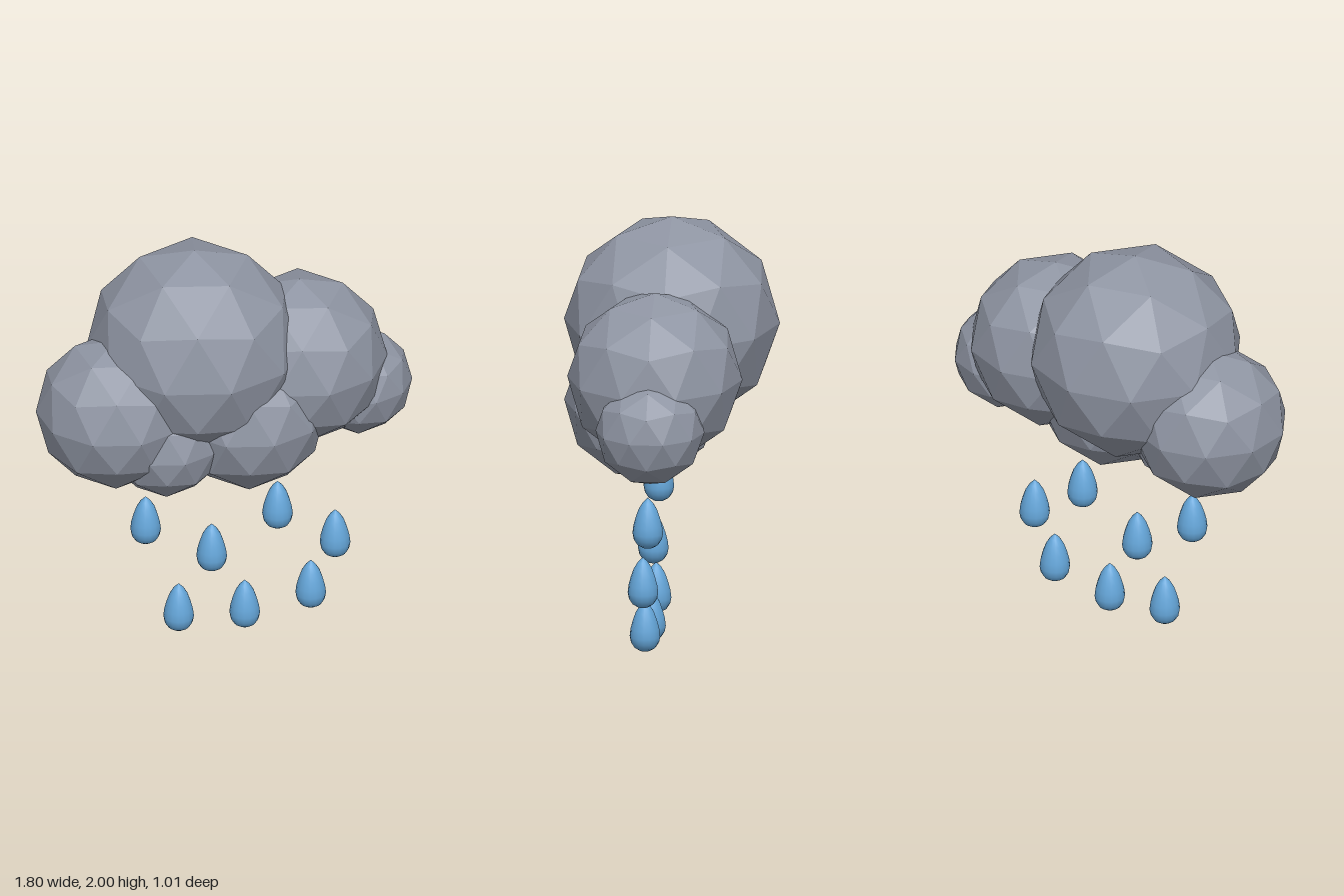
import * as THREE from 'three';

export function createModel() {
  const model = new THREE.Group();
  model.name = 'rainCloud';

  const cloudGrey = new THREE.MeshStandardMaterial({ color: 0x8f95a3, flatShading: true });
  cloudGrey.name = 'cloud grey';
  const rainBlue = new THREE.MeshStandardMaterial({ color: 0x64a5d8 });
  rainBlue.name = 'rain blue';

  // Faceted ball, turned so that one corner points straight up
  const puffGeometry = new THREE.IcosahedronGeometry(1, 1);
  puffGeometry.rotateZ(-Math.atan(2 / (1 + Math.sqrt(5))));

  // Cloud puffs: name, centre, radius
  const cloud = new THREE.Group();
  cloud.name = 'cloud';
  const puffs = [
    ['mainPuff', -0.143, 1.495, 0, 0.505],
    ['leftPuff', 0.365, 1.362, 0.04, 0.41],
    ['rightPuff', -0.553, 1.247, 0.038, 0.367],
    ['lowerFrontPuff', 0.077, 1.165, 0.122, 0.365],
    ['lowerRightPuff', -0.336, 1.102, 0.135, 0.27],
    ['leftEndPuff', 0.653, 1.185, 0.04, 0.255],
  ];
  for (const [name, x, y, z, r] of puffs) {
    const puff = new THREE.Mesh(puffGeometry, cloudGrey);
    puff.name = name;
    puff.position.set(x, y, z);
    puff.scale.setScalar(r);
    cloud.add(puff);
  }
  model.add(cloud);

  // Raindrop profile from the round bottom to the tip
  const profile = [
    [0, 0], [0.026, 0.006], [0.05, 0.021], [0.066, 0.046], [0.0715, 0.075],
    [0.067, 0.112], [0.057, 0.15], [0.043, 0.19], [0.024, 0.222], [0, 0.246],
  ].map(([r, y]) => new THREE.Vector2(r, y));
  const dropGeometry = new THREE.LatheGeometry(profile, 16);

  // Raindrops: x and height of the bottom
  const rain = new THREE.Group();
  rain.name = 'rain';
  const drops = [
    [-0.415, 0.539], [-0.087, 0.332], [0.24, 0.497], [0.526, 0.291],
    [-0.251, 0.045], [0.077, 0.002], [0.405, 0.045],
  ];
  drops.forEach(([x, y], i) => {
    const drop = new THREE.Mesh(dropGeometry, rainBlue);
    drop.name = `raindrop${i + 1}`;
    drop.position.set(x, y, 0.083);
    rain.add(drop);
  });
  model.add(rain);

  return model;
}
